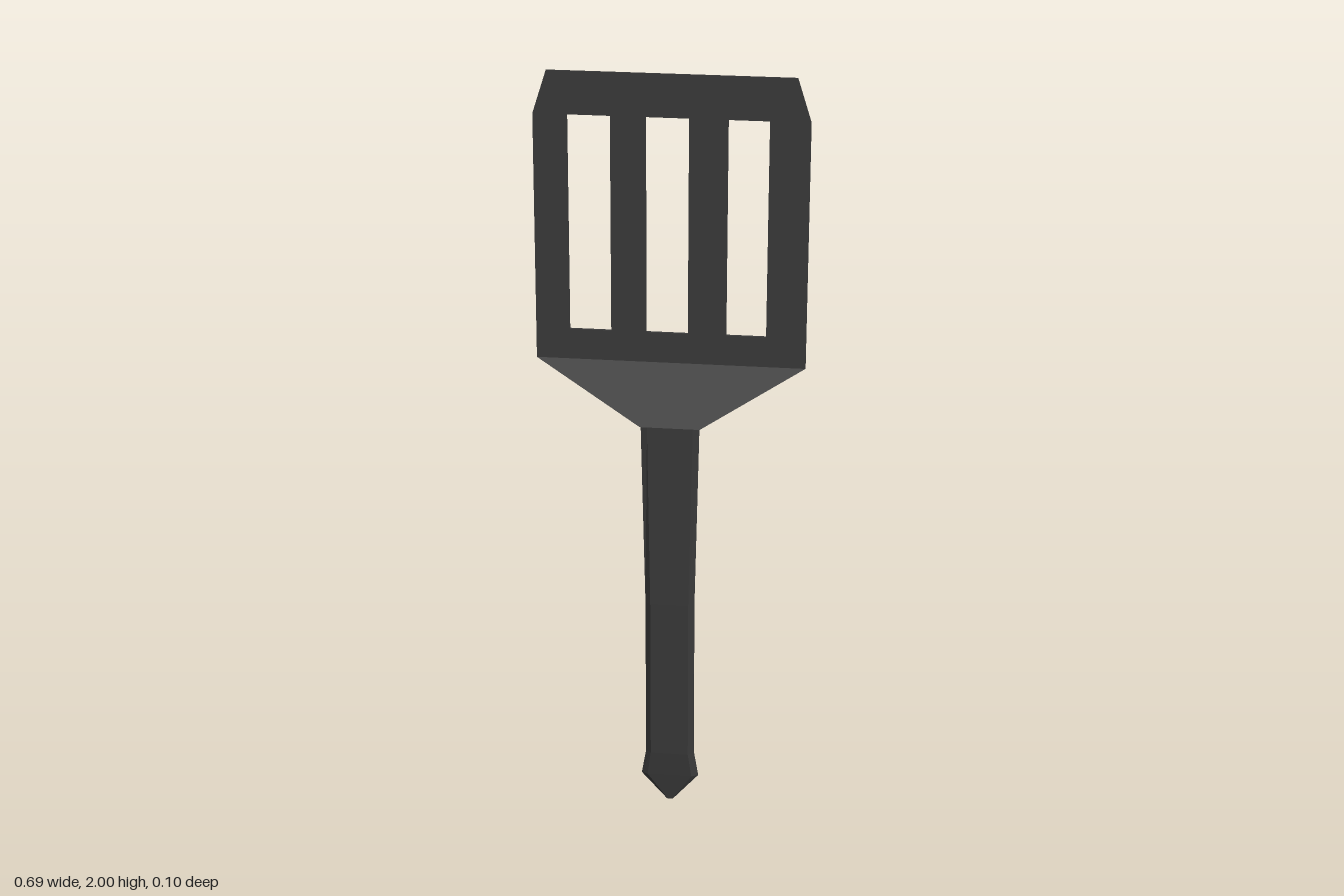
import * as THREE from 'three';

const material = new THREE.MeshStandardMaterial({ color: 0x3a3a3a, flatShading: true });

function outline(points, Type = THREE.Shape) {
  return new Type(points.map(([x, y]) => new THREE.Vector2(x, y)));
}

// Extrude a flat outline, then tilt and taper it between two ends [y, z, thickness]
function tiltedSheet(name, shape, low, high) {
  const geometry = new THREE.ExtrudeGeometry(shape, { depth: 1, bevelEnabled: false });
  const p = geometry.attributes.position;
  for (let i = 0; i < p.count; i++) {
    const t = (p.getY(i) - low[0]) / (high[0] - low[0]);
    const z = THREE.MathUtils.lerp(low[1], high[1], t);
    const thickness = THREE.MathUtils.lerp(low[2], high[2], t);
    p.setZ(i, z + (p.getZ(i) - 0.5) * thickness);
  }
  geometry.computeVertexNormals();
  const mesh = new THREE.Mesh(geometry, material);
  mesh.name = name;
  return mesh;
}

// Loft chamfered eight-sided sections [y, half width, half depth]
function loftHandle(sections, cx, cz) {
  const positions = [], index = [], n = 8;
  for (const [y, w, d] of sections) {
    const c = w * 0.78, e = d * 0.3;
    const ring = [[w, -e], [w, e], [c, d], [-c, d], [-w, e], [-w, -e], [-c, -d], [c, -d]];
    for (const [x, z] of ring) positions.push(cx + x, y, cz + z);
  }
  for (let r = 0; r < sections.length - 1; r++) {
    for (let k = 0; k < n; k++) {
      const a = r * n + k, b = r * n + (k + 1) % n;
      index.push(a, a + n, b, b, a + n, b + n);
    }
  }
  // End caps
  const last = (sections.length - 1) * n;
  for (let k = 1; k < n - 1; k++) {
    index.push(0, k, k + 1, last, last + k + 1, last + k);
  }
  const geometry = new THREE.BufferGeometry();
  geometry.setAttribute('position', new THREE.Float32BufferAttribute(positions, 3));
  geometry.setIndex(index);
  geometry.computeVertexNormals();
  // Rings run the other way round the y axis, so orient faces outward
  const mesh = new THREE.Mesh(geometry, material);
  mesh.name = 'handle';
  return mesh;
}

export function createModel() {
  const group = new THREE.Group();
  group.name = 'spatula';

  // Blade with three slots and clipped top corners
  const bladeShape = outline([
    [-0.343, 1.25], [0.343, 1.25], [0.343, 1.89], [0.308, 2], [-0.308, 2], [-0.343, 1.89],
  ]);
  for (const [x0, x1] of [[-0.257, -0.151], [-0.062, 0.044], [0.141, 0.242]]) {
    bladeShape.holes.push(outline([[x0, 1.33], [x0, 1.89], [x1, 1.89], [x1, 1.33]], THREE.Path));
  }
  group.add(tiltedSheet('blade', bladeShape, [1.25, -0.037, 0.008], [2, -0.05, 0.003]));

  // Sloping neck that widens from handle to blade
  const neckShape = outline([[-0.07, 1.1], [0.083, 1.1], [0.343, 1.25], [-0.343, 1.25]]);
  group.add(tiltedSheet('neck', neckShape, [1.1, 0.036, 0.009], [1.25, -0.037, 0.009]));

  // Handle, pointed at the foot
  group.add(loftHandle([
    [0, 0.008, 0.001], [0.08, 0.076, 0.011], [0.15, 0.064, 0.016],
    [0.6, 0.064, 0.017], [1.1, 0.075, 0.004],
  ], 0.007, 0.035));

  return group;
}
